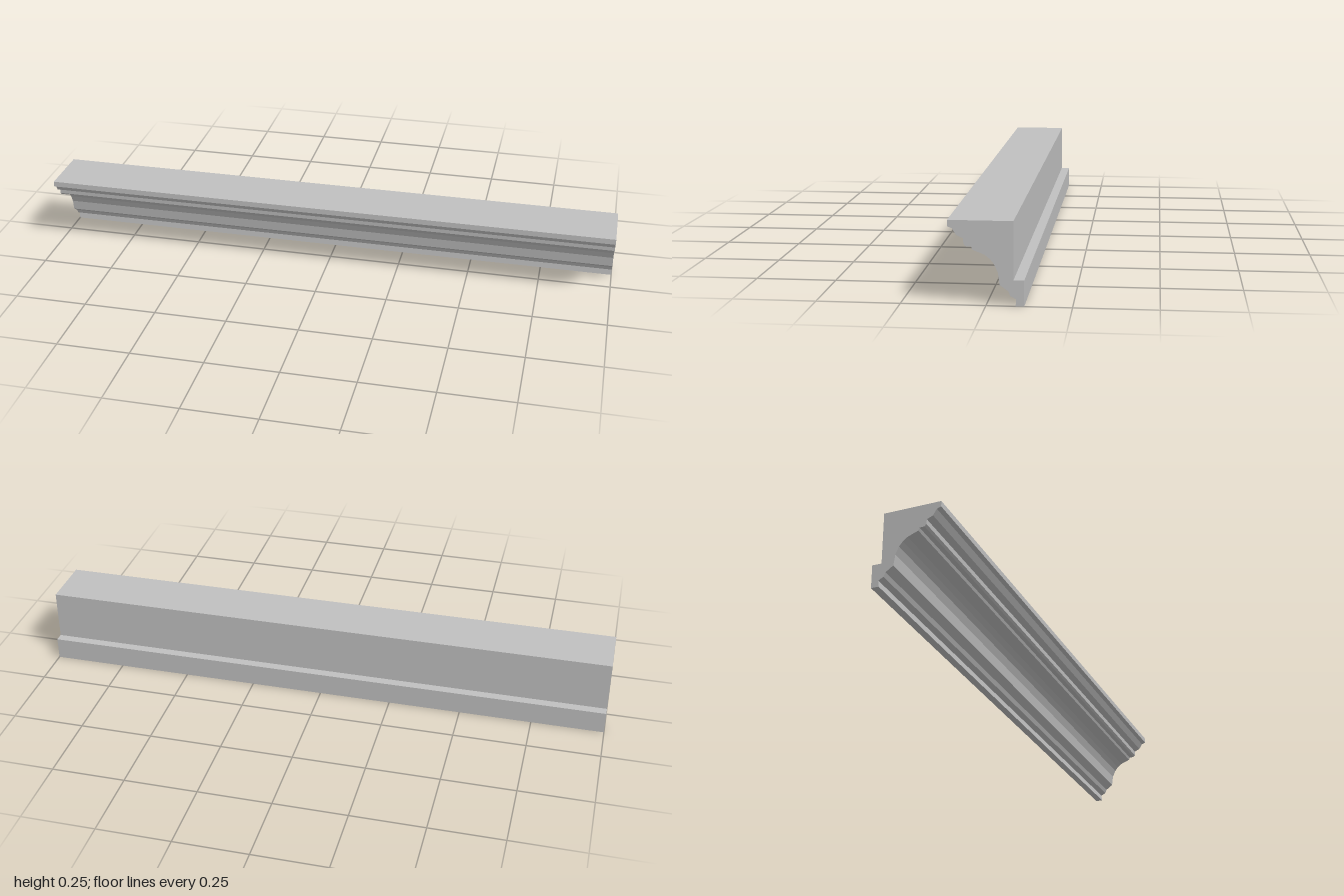
import * as THREE from 'three';

// Straight cornice moulding: one cross-section swept along x.
export function createModel() {
  const group = new THREE.Group();
  group.name = 'corniceMoulding';

  const plaster = new THREE.MeshStandardMaterial({ color: 0xc0c0c0 });
  plaster.name = 'grey plaster';

  // Cross-section as [z, y], from the back foot up and down the stepped front
  const profile = [
    [-0.111, 0], [-0.086, 0], [-0.088, 0.021], // foot fillet
    [-0.071, 0.03], [-0.065, 0.044], [-0.04, 0.062], // lower ogee
    [-0.035, 0.098], [-0.024, 0.123], [-0.012, 0.138], [0.003, 0.15], // cove
    [0.038, 0.164], [0.042, 0.173], [0.058, 0.174], [0.064, 0.181], // bead
    [0.065, 0.197], [0.085, 0.206], [0.097, 0.226], // upper ogee
    [0.111, 0.231], [0.111, 0.25], // top fillet
    [-0.08, 0.25], [-0.08, 0.077], [-0.111, 0.077], // back and rebate
  ];
  const shape = new THREE.Shape(profile.map(([z, y]) => new THREE.Vector2(z, y)));

  const geometry = new THREE.ExtrudeGeometry(shape, { depth: 2, bevelEnabled: false });
  geometry.translate(0, 0, -1);
  geometry.rotateY(-Math.PI / 2); // section x becomes z, length runs along x

  const moulding = new THREE.Mesh(geometry, plaster);
  moulding.name = 'moulding';
  group.add(moulding);
  return group;
}
